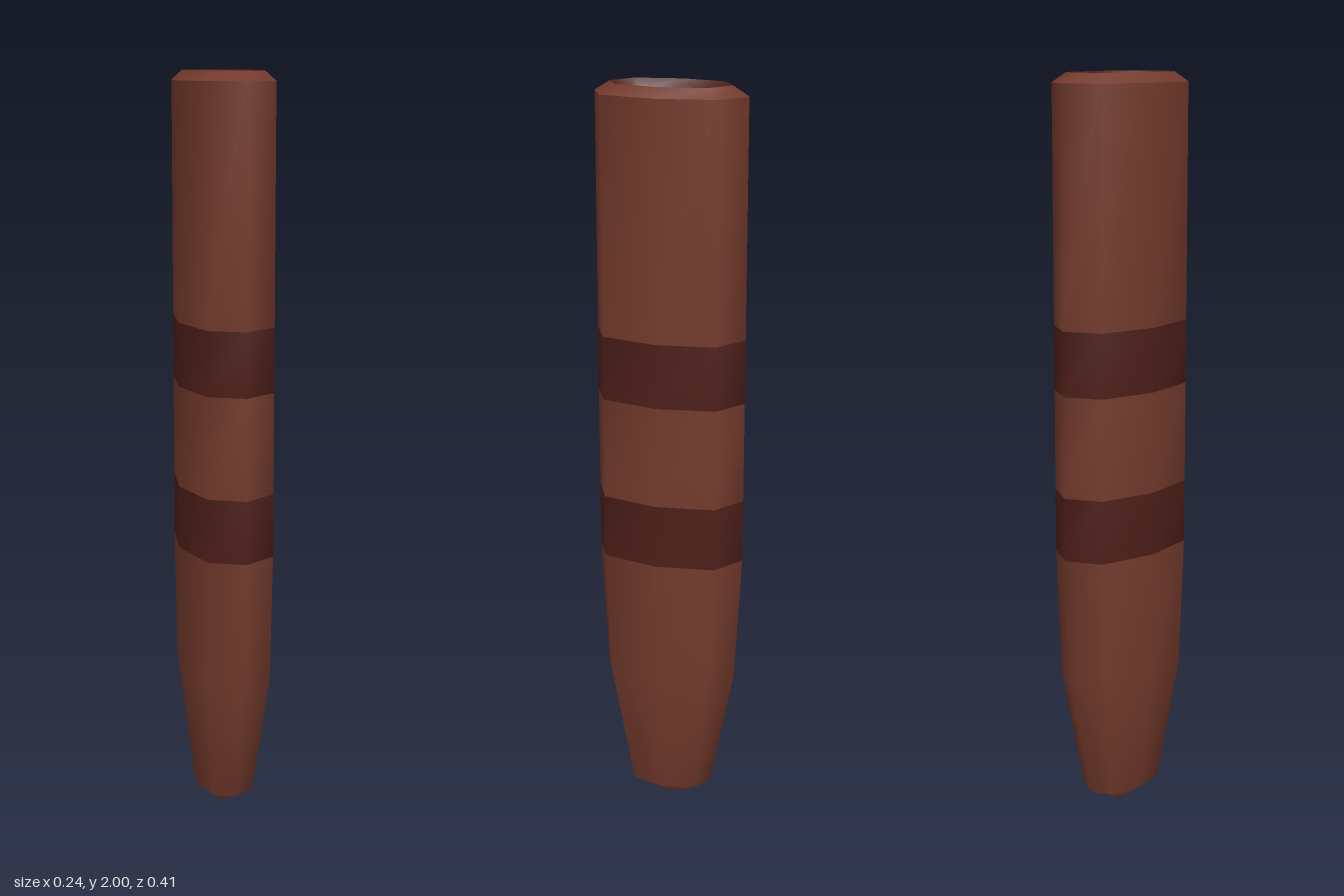
import * as THREE from 'three';

const BROWN = 0x733a2c, DARK = 0x4d1e18, BLACK = 0x202020;

// Eight-sided cross-section as [x, z] in units of the half width and half depth
const SECTION = [[1, 0], [0.75, 0.755], [0, 1], [-0.75, 0.755], [-1, 0], [-0.75, -0.755], [0, -1], [0.75, -0.755]];

// Lofts the cross-section through rings of [y, half width, half depth], smooth around the sides
function loft(name, rings, color) {
  const n = SECTION.length, pos = [], idx = [];
  for (const [y, w, d] of rings) for (const [x, z] of SECTION) pos.push(x * w, y, z * d);
  for (let r = 0; r < rings.length - 1; r++) {
    for (let i = 0; i < n; i++) {
      const a = r * n + i, b = r * n + (i + 1) % n;
      idx.push(a, a + n, b);
      if (rings[r + 1][1] > 0) idx.push(b, a + n, b + n);
    }
  }
  const geo = new THREE.BufferGeometry();
  geo.setAttribute('position', new THREE.Float32BufferAttribute(pos, 3));
  geo.setIndex(idx);
  geo.computeVertexNormals();
  const mesh = new THREE.Mesh(geo, new THREE.MeshStandardMaterial({ color }));
  mesh.name = name;
  return mesh;
}

export function createModel() {
  const group = new THREE.Group();
  group.name = 'scabbard';
  const W = 0.12, D = 0.204;
  const straight = (name, y0, y1, color) => loft(name, [[y0, W, D], [y1, W, D]], color);

  group.add(
    // Tapered lower end with a blunt pointed tip
    loft('taperedEnd', [[0.005, 0.001, 0.001], [0.065, 0.075, 0.118], [0.4, 0.118, 0.184], [0.75, W, D]], BROWN),
    // Straight sleeve with two dark bands
    straight('lowerBand', 0.75, 0.92, DARK),
    straight('middleSleeve', 0.92, 1.19, BROWN),
    straight('upperBand', 1.19, 1.36, DARK),
    straight('upperSleeve', 1.36, 1.975, BROWN),
    // Bevelled rim, sloping throat and its floor
    loft('rim', [[1.975, W, D], [2, 0.095, 0.162]], BROWN),
    loft('throat', [[2, 0.095, 0.162], [1.97, 0.077, 0.13]], DARK),
    loft('throatFloor', [[1.97, 0.077, 0.13], [1.97, 0, 0]], BLACK),
  );
  return group;
}
